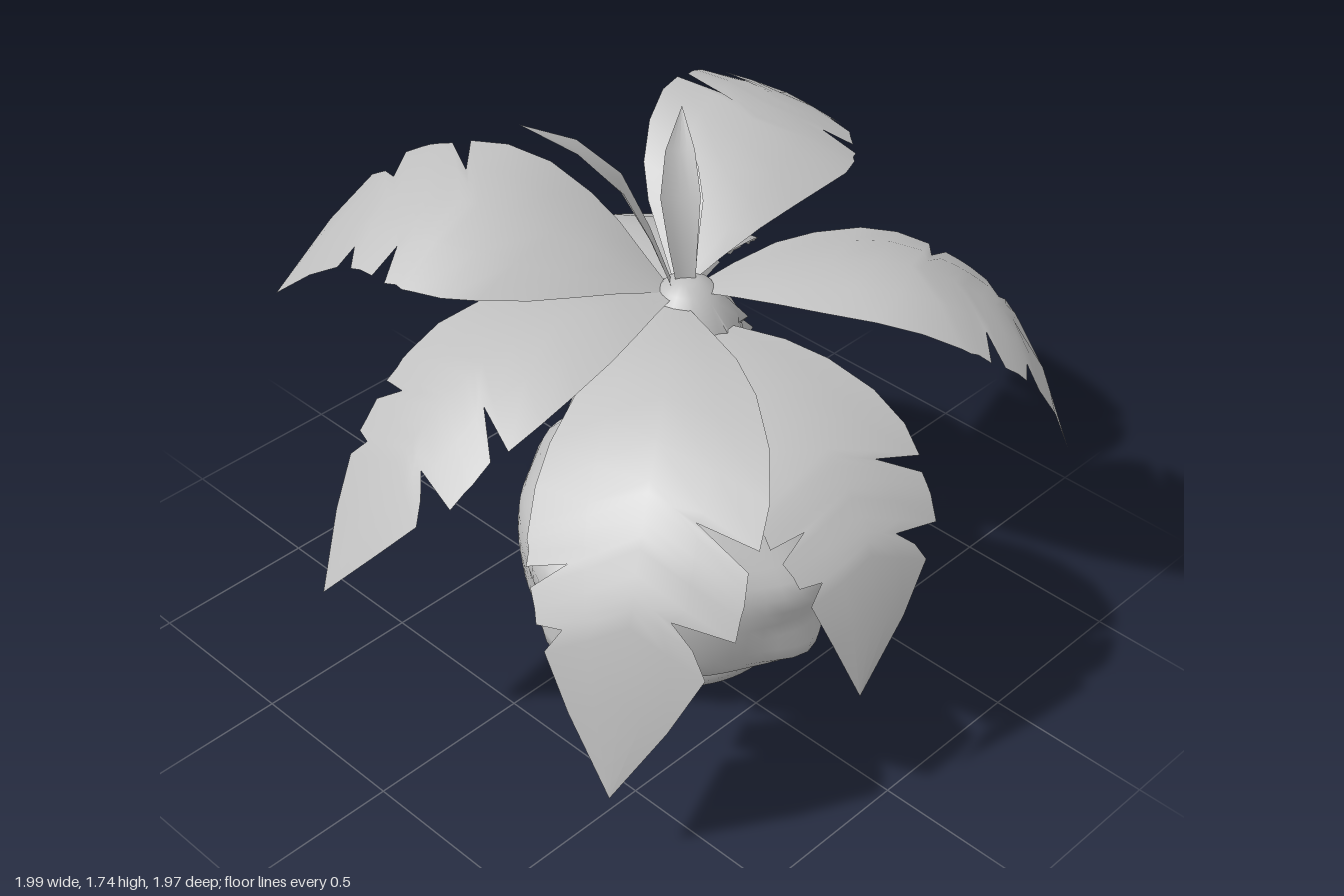
import * as THREE from 'three';

const grey = new THREE.MeshStandardMaterial({ color: 0xc0c0c0, side: THREE.DoubleSide });
grey.name = 'plain grey';

const CX = 0.12, CZ = 0.07; // axis of the pot and trunk

// Leaf outline rows: position along the midrib, left and right half width (with slits)
const FROND = [
  [0, 0.03, 0.03], [0.06, 0.09, 0.09], [0.14, 0.17, 0.17], [0.22, 0.23, 0.23], [0.32, 0.28, 0.28],
  [0.42, 0.3, 0.3], [0.5, 0.29, 0.3], [0.52, 0.13, 0.3], [0.54, 0.27, 0.29], [0.57, 0.27, 0.29],
  [0.59, 0.27, 0.18], [0.61, 0.265, 0.27], [0.65, 0.26, 0.25], [0.68, 0.1, 0.24], [0.7, 0.16, 0.17],
  [0.73, 0.2, 0.21], [0.84, 0.125, 0.13], [1, 0, 0],
];
const BLADE = [
  [0, 0.025, 0.025], [0.25, 0.04, 0.04], [0.5, 0.055, 0.055], [0.75, 0.04, 0.04], [1, 0, 0],
];
const SWEEP = 0.3; // how far leaf edges lean towards the tip

// Sweeps an outline along a curved midrib, arching and rolling its cross-section
function makeLeaf(name, points, rows, { roll = 0, arch = 0.55, width = 1, flip = false } = {}) {
  const curve = new THREE.CatmullRomCurve3(points.map((p) => new THREE.Vector3(...p)));
  const chord = curve.getPoint(1).sub(curve.getPoint(0)).setY(0).normalize();
  const side = chord.clone().cross(new THREE.Vector3(0, 1, 0));
  const steps = [-1, -0.5, 0, 0.5, 1];
  const pos = [], index = [];
  rows.forEach(([u, left, right], r) => {
    for (const s of steps) {
      const v = s * width * ((s < 0) !== flip ? left : right);
      const t = Math.min(1, u + SWEEP * Math.abs(v));
      const up = side.clone().cross(curve.getTangent(t)).normalize();
      const tilt = roll * Math.sin(Math.PI * Math.min(t, 0.75));
      const p = curve.getPoint(t)
        .addScaledVector(side, v * Math.cos(tilt))
        .addScaledVector(up, v * Math.sin(tilt) - arch * v * v);
      pos.push(p.x, p.y, p.z);
    }
    if (r === 0) return;
    for (let c = 0; c < 4; c++) {
      const a = (r - 1) * 5 + c, b = a + 5;
      index.push(a, a + 1, b, a + 1, b + 1, b);
    }
  });
  const geo = new THREE.BufferGeometry();
  geo.setAttribute('position', new THREE.Float32BufferAttribute(pos, 3));
  geo.setIndex(index);
  geo.computeVertexNormals();
  const mesh = new THREE.Mesh(geo, grey);
  mesh.name = name;
  return mesh;
}

// Pot body with two stacked knobs on each of its four sides
function makePot() {
  const profile = [
    [0, 0], [0.32, 0], [0.318, 0.04], [0.315, 0.08], [0.39, 0.11], [0.43, 0.14], [0.455, 0.18],
    [0.468, 0.23], [0.475, 0.28], [0.48, 0.33], [0.48, 0.38], [0.475, 0.43], [0.46, 0.47],
    [0.435, 0.51], [0.39, 0.56], [0.33, 0.61], [0.285, 0.65], [0.285, 0.69], [0.33, 0.72],
    [0.33, 0.75], [0.305, 0.795], [0.28, 0.815], [0.15, 0.81],
  ].map(([x, y]) => new THREE.Vector2(x, y));
  const geo = new THREE.LatheGeometry(profile, 64);
  const p = geo.attributes.position;
  const bell = (d, s) => Math.exp(-(d * d) / (2 * s * s));
  for (let i = 0; i < p.count; i++) {
    const x = p.getX(i), y = p.getY(i), z = p.getZ(i), r = Math.hypot(x, z);
    if (r < 0.325 || y > 0.65) continue;
    const q = Math.PI / 2, a = Math.atan2(z, x);
    const off = a - Math.round(a / q) * q;
    const push = 0.062 * bell(y - 0.43, 0.08) * bell(off, 0.2)
      + 0.065 * bell(y - 0.2, 0.055) * bell(off, 0.16);
    p.setX(i, x * (1 + push / r));
    p.setZ(i, z * (1 + push / r));
  }
  geo.computeVertexNormals();
  // Match normals across the lathe seam
  const n = geo.attributes.normal, rows = profile.length;
  for (let j = 0; j < rows; j++) {
    const k = 64 * rows + j;
    const v = new THREE.Vector3().fromBufferAttribute(n, j)
      .add(new THREE.Vector3().fromBufferAttribute(n, k)).normalize();
    n.setXYZ(j, v.x, v.y, v.z);
    n.setXYZ(k, v.x, v.y, v.z);
  }
  const mesh = new THREE.Mesh(geo, grey);
  mesh.name = 'pot';
  mesh.position.set(CX, 0, CZ);
  return mesh;
}

// Tapering trunk studded with broad pointed scales
function makeTrunk() {
  const trunk = new THREE.Group();
  trunk.name = 'trunk';
  trunk.position.set(CX, 0, CZ + 0.015);
  const profile = [
    [0.18, 0.79], [0.178, 0.87], [0.172, 0.97], [0.16, 1.06], [0.14, 1.13], [0.1, 1.18],
    [0.07, 1.215], [0.03, 1.235], [0, 1.235],
  ].map(([x, y]) => new THREE.Vector2(x, y));
  const core = new THREE.Mesh(new THREE.LatheGeometry(profile, 20), grey);
  core.name = 'trunkCore';
  trunk.add(core);
  const scale = new THREE.ConeGeometry(0.085, 0.08, 4);
  scale.rotateX(Math.PI / 2);
  [[0.92, 0.18], [1.02, 0.165], [1.11, 0.13]].forEach(([y, r], row) => {
    for (let i = 0; i < 8; i++) {
      const a = ((i + (row % 2) / 2) / 8) * Math.PI * 2;
      const stud = new THREE.Mesh(scale, grey);
      stud.name = 'trunkScale';
      stud.position.set(Math.sin(a) * r, y, Math.cos(a) * r);
      stud.rotation.y = a;
      trunk.add(stud);
    }
  });
  return trunk;
}

export function createModel() {
  const model = new THREE.Group();
  model.name = 'pottedPalm';
  model.add(makePot(), makeTrunk());

  // Large drooping fronds, each a midrib from trunk to tip
  const fronds = [
    ['backFrond', [[0.08, 1.2, 0.04], [-0.07, 1.33, -0.14], [-0.22, 1.42, -0.38], [-0.34, 1.33, -0.72], [-0.49, 0.97, -0.99]], { roll: 0.25, flip: true }],
    ['highSideFrond', [[0.13, 1.2, 0.05], [0.3, 1.4, 0], [0.52, 1.52, -0.05], [0.75, 1.48, -0.15], [0.99, 1.28, -0.31]], { roll: -0.3, width: 0.95 }],
    ['sideFrond', [[0.08, 1.2, 0.06], [-0.2, 1.24, 0], [-0.5, 1.19, -0.07], [-0.8, 0.96, -0.12], [-1, 0.62, -0.19]], { width: 0.92 }],
    ['frontSideFrond', [[0.06, 1.19, 0.1], [-0.18, 1.19, 0.3], [-0.45, 1.08, 0.5], [-0.67, 0.76, 0.64], [-0.75, 0.26, 0.65]], { roll: -0.18, width: 1.06 }],
    ['frontFrond', [[0.1, 1.12, 0.1], [0.06, 1.13, 0.4], [0.01, 1.04, 0.7], [-0.04, 0.8, 0.92], [-0.12, 0.42, 0.97]], { width: 0.9 }],
    ['frontCornerFrond', [[0.15, 1.2, 0.1], [0.34, 1.28, 0.3], [0.55, 1.28, 0.52], [0.78, 1.07, 0.74], [0.9, 0.65, 0.87]], { roll: 0.1 }],
    ['lowBackFrond', [[0.15, 1.14, 0], [0.3, 1.16, -0.18], [0.48, 1.09, -0.36], [0.64, 0.83, -0.54], [0.67, 0.45, -0.58]], { roll: -0.12, width: 0.95 }],
  ];
  for (const [name, points, options] of fronds) model.add(makeLeaf(name, points, FROND, options));

  // Young upright blades at the crown
  const blades = [
    [[0.09, 1.2, 0.06], [0.03, 1.42, -0.01], [-0.06, 1.61, -0.09], [-0.22, 1.74, -0.21]],
    [[0.12, 1.2, 0.08], [0.12, 1.38, 0.06], [0.16, 1.54, 0.01], [0.23, 1.68, -0.05]],
    [[0.14, 1.2, 0.06], [0.18, 1.34, 0.01], [0.24, 1.44, -0.05], [0.33, 1.51, -0.13]],
  ];
  for (const points of blades) model.add(makeLeaf('youngBlade', points, BLADE, { arch: -5 }));

  return model;
}
